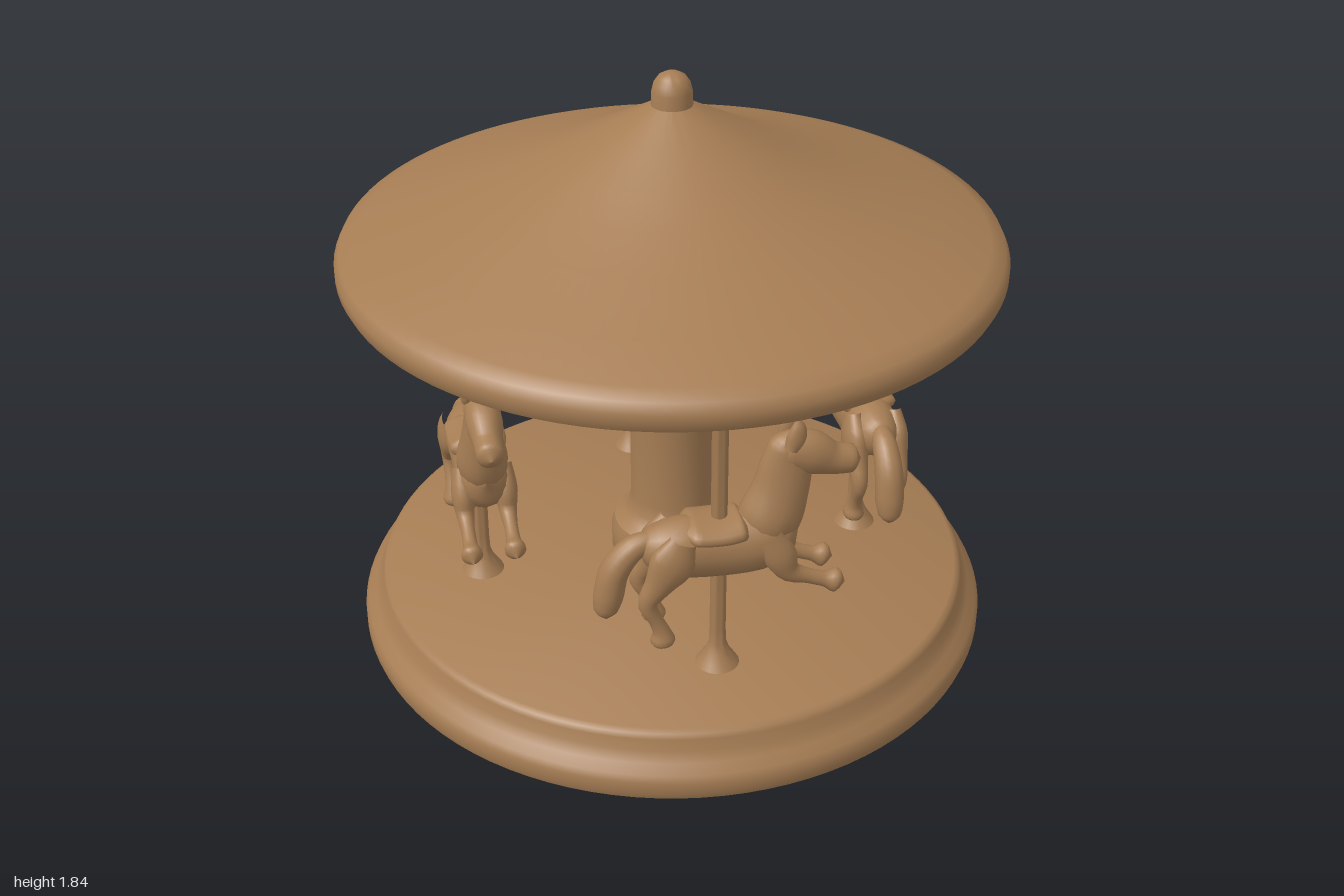
import * as THREE from 'three';
import { toCreasedNormals } from 'three/addons/utils/BufferGeometryUtils.js';

const brown = new THREE.MeshStandardMaterial({ color: 0xa67d54 });
brown.name = 'warm brown';

function part(name, geometry, parent) {
  const mesh = new THREE.Mesh(geometry, brown);
  mesh.name = name;
  parent.add(mesh);
  return mesh;
}

// Turned part; the profile runs from bottom to top
function turned(name, profile, segments, parent) {
  const pts = profile.map(([r, y]) => new THREE.Vector2(r, y));
  return part(name, toCreasedNormals(new THREE.LatheGeometry(pts, segments), 0.7), parent);
}

// Smooth loft of elliptical sections along a path in the xy plane.
// Each section is [x, y, radius in plane, radius along z].
function loft(sections, z = 0, steps = 20, sides = 16) {
  const path = new THREE.CatmullRomCurve3(sections.map(([x, y]) => new THREE.Vector3(x, y, z)));
  const radii = new THREE.CatmullRomCurve3(sections.map((s) => new THREE.Vector3(s[2], s[3] ?? s[2], 0)));
  const pos = [], index = [];
  for (let i = 0; i <= steps; i++) {
    const p = path.getPoint(i / steps), t = path.getTangent(i / steps), r = radii.getPoint(i / steps);
    const rx = Math.max(r.x, 0.001), rz = Math.max(r.y, 0.001);
    for (let j = 0; j < sides; j++) {
      const a = (j / sides) * Math.PI * 2, c = Math.cos(a) * rx;
      pos.push(p.x - t.y * c, p.y + t.x * c, p.z + Math.sin(a) * rz);
      if (i === steps) continue;
      const k = (j + 1) % sides, A = i * sides + j, B = i * sides + k;
      index.push(A, B, A + sides, B, B + sides, A + sides);
    }
  }
  const g = new THREE.BufferGeometry();
  g.setAttribute('position', new THREE.Float32BufferAttribute(pos, 3));
  g.setIndex(index);
  g.computeVertexNormals();
  return g;
}

// Galloping horse facing +x, with its pole at the origin
function createHorse() {
  const horse = new THREE.Group();
  horse.name = 'horse';

  part('body', loft([
    [-0.245, 0.66, 0.002], [-0.21, 0.655, 0.06, 0.055], [-0.12, 0.64, 0.095, 0.085],
    [0, 0.63, 0.1, 0.08], [0.12, 0.64, 0.105, 0.085], [0.2, 0.67, 0.075, 0.065], [0.24, 0.68, 0.002],
  ]), horse);
  part('neck', loft([
    [0.1, 0.62, 0.06, 0.05], [0.15, 0.71, 0.095, 0.078], [0.18, 0.8, 0.085, 0.063],
    [0.195, 0.88, 0.078, 0.052], [0.205, 0.95, 0.06, 0.045], [0.215, 0.99, 0.002],
  ]), horse);
  part('head', loft([
    [0.14, 0.93, 0.002], [0.19, 0.925, 0.06, 0.05], [0.26, 0.91, 0.068, 0.055],
    [0.33, 0.88, 0.05, 0.044], [0.39, 0.87, 0.043, 0.04], [0.416, 0.867, 0.002],
  ]), horse);
  part('tail', loft([
    [-0.18, 0.68, 0.025], [-0.25, 0.655, 0.038], [-0.305, 0.59, 0.044],
    [-0.325, 0.51, 0.045], [-0.335, 0.45, 0.036], [-0.335, 0.415, 0.002],
  ]), horse);
  // Saddle draped over the back
  part('saddle', loft([
    [-0.12, 0.71, 0.01, 0.03], [-0.08, 0.7, 0.035, 0.09], [0, 0.695, 0.038, 0.092],
    [0.06, 0.7, 0.04, 0.085], [0.09, 0.71, 0.002],
  ]), horse);

  for (const [side, s] of [['left', -1], ['right', 1]]) {
    part(side + 'Ear', loft([
      [0.195, 0.95, 0.02], [0.21, 0.985, 0.03, 0.019], [0.216, 1.02, 0.022, 0.016], [0.212, 1.052, 0.002],
    ], s * 0.038, 10, 10), horse);
    // Front leg reaching forward
    part(side + 'FrontLeg', loft([
      [0.13, 0.68, 0.04, 0.025], [0.165, 0.61, 0.05, 0.036], [0.195, 0.55, 0.034, 0.028],
      [0.255, 0.522, 0.023, 0.021], [0.3, 0.505, 0.023, 0.022], [0.335, 0.495, 0.038, 0.033],
      [0.365, 0.485, 0.002],
    ], s * 0.065), horse);
    // Hind leg with a bent hock
    part(side + 'HindLeg', loft([
      [-0.12, 0.7, 0.04, 0.025], [-0.15, 0.63, 0.07, 0.04], [-0.195, 0.555, 0.042, 0.032],
      [-0.225, 0.5, 0.029, 0.025], [-0.2, 0.435, 0.022, 0.021], [-0.185, 0.395, 0.026, 0.025],
      [-0.18, 0.36, 0.037, 0.034], [-0.178, 0.33, 0.002],
    ], s * 0.065), horse);
  }
  return horse;
}

export function createModel() {
  const carousel = new THREE.Group();
  carousel.name = 'carousel';

  turned('platform', [
    [0, 0], [0.975, 0], [0.993, 0.01], [1, 0.03], [1, 0.07], [0.99, 0.09], [0.965, 0.115],
    [0.945, 0.145], [0.937, 0.18], [0.93, 0.195], [0.915, 0.203], [0, 0.203],
  ], 96, carousel);

  turned('column', [
    [0.19, 0.2], [0.195, 0.22], [0.195, 0.29], [0.185, 0.325], [0.155, 0.345], [0.138, 0.375], [0.132, 0.42],
    [0.132, 1.13], [0.142, 1.165], [0.18, 1.2], [0.195, 1.225], [0.198, 1.245],
  ], 48, carousel);

  turned('canopy', [
    [0, 1.242], [0.97, 1.242], [0.988, 1.25], [1, 1.275], [1, 1.305], [0.985, 1.335], [0.94, 1.355],
    [0.8, 1.405], [0.6, 1.48], [0.45, 1.54], [0.32, 1.602], [0.2, 1.667], [0.12, 1.71], [0.05, 1.75],
  ], 96, carousel);

  turned('finial', [
    [0.062, 1.72], [0.06, 1.785], [0.054, 1.81], [0.04, 1.83], [0.02, 1.841], [0, 1.844],
  ], 32, carousel);

  // Four horses on poles, a quarter turn apart
  for (let i = 0; i < 4; i++) {
    const mount = new THREE.Group();
    mount.name = 'mount' + (i + 1);
    turned('pole', [
      [0.068, 0.2], [0.055, 0.22], [0.036, 0.25], [0.026, 0.28], [0.024, 0.33],
      [0.024, 1.15], [0.03, 1.185], [0.048, 1.21], [0.06, 1.23], [0.064, 1.245],
    ], 20, mount);
    mount.add(createHorse());
    const a = (i * Math.PI) / 2;
    mount.position.set(Math.sin(a) * 0.62, 0, Math.cos(a) * 0.62);
    mount.rotation.y = a;
    carousel.add(mount);
  }
  return carousel;
}
